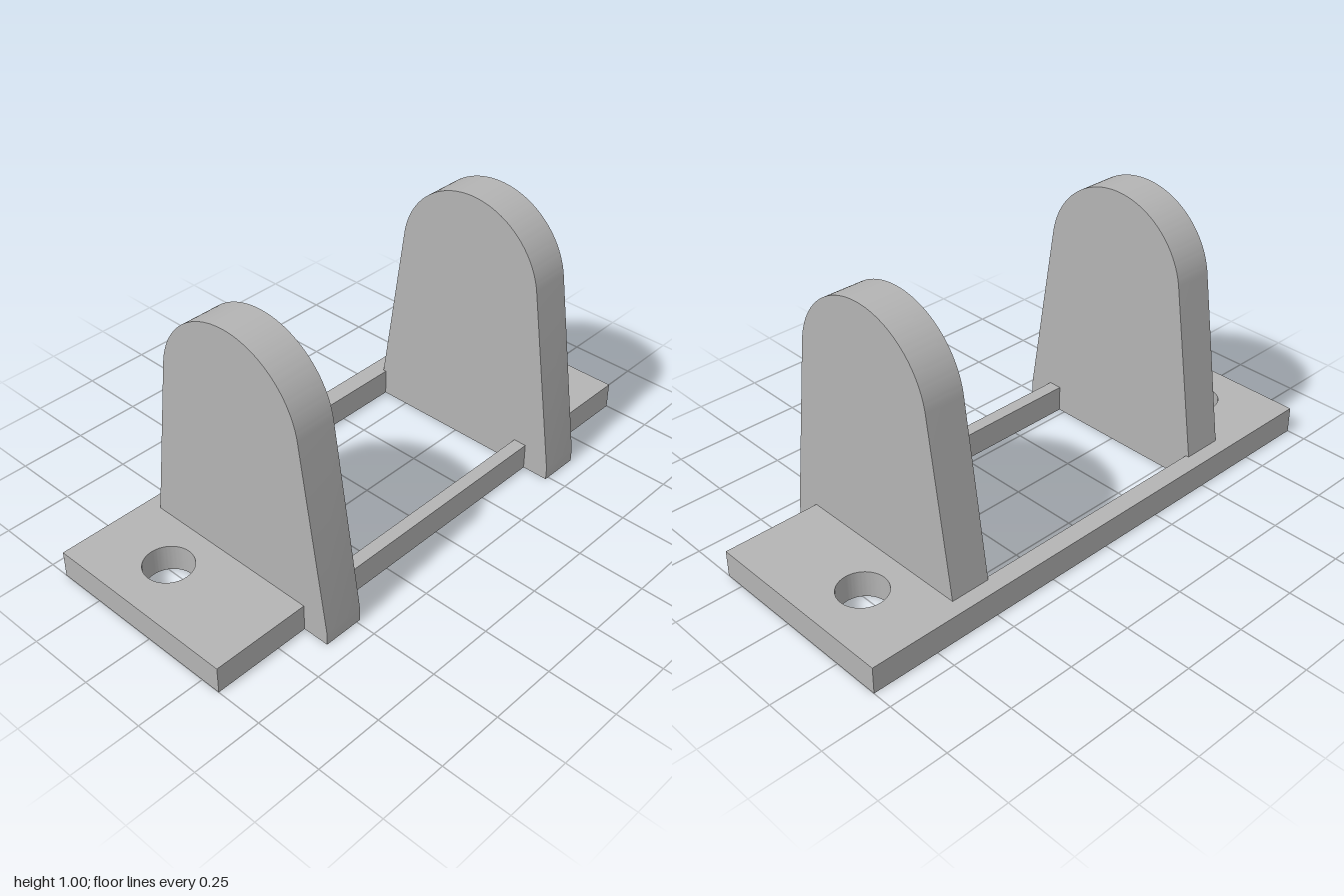
import * as THREE from 'three';
import { toCreasedNormals } from 'three/addons/utils/BufferGeometryUtils.js';

const steel = new THREE.MeshStandardMaterial({ color: 0xb4b4b4 });
steel.name = 'grey metal';

function circle(x, y, r) {
  return new THREE.Path().absarc(x, y, r, 0, Math.PI * 2, true);
}

function extrude(shape, depth) {
  return new THREE.ExtrudeGeometry(shape, { depth, bevelEnabled: false, curveSegments: 48 });
}

// Flat frame with a central opening and two bolt holes, drawn in (x, -z)
function basePlate() {
  const s = new THREE.Shape();
  s.moveTo(-1, -0.325).lineTo(1, -0.325).lineTo(1, 0.425).lineTo(-1, 0.425).closePath();
  const opening = new THREE.Path();
  opening.moveTo(-0.485, -0.275).lineTo(-0.485, 0.355).lineTo(0.485, 0.355).lineTo(0.485, -0.275).closePath();
  s.holes.push(opening, circle(-0.8, 0.13, 0.087), circle(0.8, 0.13, 0.087));
  return toCreasedNormals(extrude(s, 0.1).rotateX(-Math.PI / 2), 0.5);
}

// Tapered ear with a round top and pin hole, notched over the base's front edge; drawn in (z, y)
function ear() {
  const tangent = 0.1477;
  const s = new THREE.Shape();
  s.moveTo(0.325, 0.1).lineTo(0.325, 0).lineTo(0.425, 0).lineTo(0.425, 0.05);
  s.absarc(0.025, 0.7, 0.3, tangent, Math.PI - tangent, false);
  s.lineTo(-0.367, 0.1).closePath();
  s.holes.push(circle(0.025, 0.7, 0.056));
  const g = extrude(s, 0.15).rotateY(-Math.PI / 2).translate(0.075, 0, 0);
  return toCreasedNormals(g, 0.5);
}

export function createModel() {
  const model = new THREE.Group();
  model.name = 'mountingBracket';

  const base = new THREE.Mesh(basePlate(), steel);
  base.name = 'basePlate';
  model.add(base);

  const earGeometry = ear();
  for (const [name, side] of [['leftEar', 1], ['rightEar', -1]]) {
    const mesh = new THREE.Mesh(earGeometry, steel);
    mesh.name = name;
    mesh.position.x = side * 0.56;
    model.add(mesh);
  }
  return model;
}
